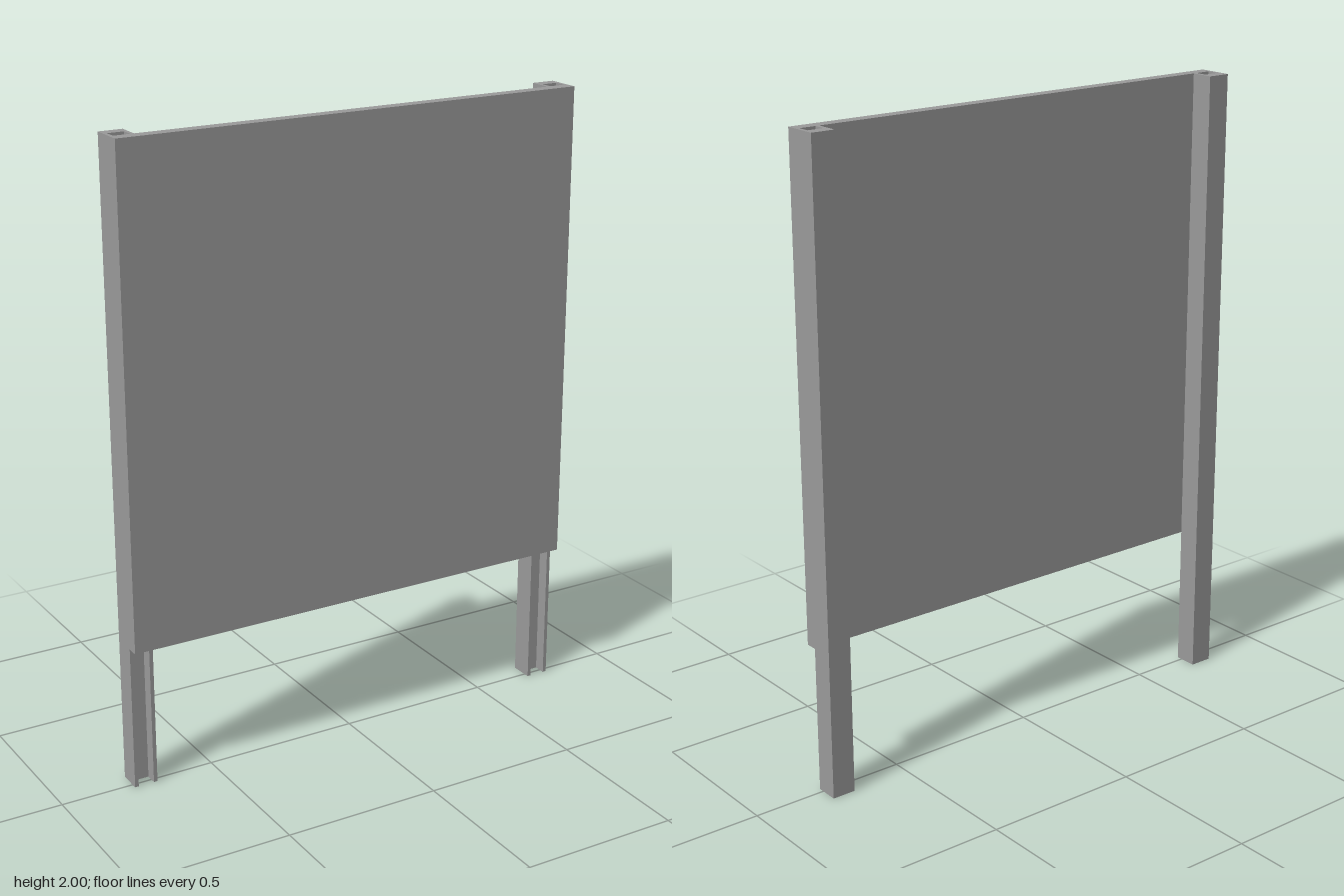
import * as THREE from 'three';

const HALF_WIDTH = 0.768, HEIGHT = 2, HALF_DEPTH = 0.056;
const PANEL_BOTTOM = 0.463, PANEL_BACK = 0.018;
const POST_WIDTH = 0.075, WALL = 0.012, WEB_FRONT = -0.021;

export function createModel() {
  const group = new THREE.Group();
  const material = new THREE.MeshStandardMaterial({ color: 0x9b9b9b });

  // Flat board across the front
  const thickness = HALF_DEPTH - PANEL_BACK;
  const panel = new THREE.Mesh(
    new THREE.BoxGeometry(2 * HALF_WIDTH, HEIGHT - PANEL_BOTTOM, thickness), material);
  panel.name = 'panel';
  panel.position.set(0, (HEIGHT + PANEL_BOTTOM) / 2, PANEL_BACK + thickness / 2);
  group.add(panel);

  // U-channel section, open towards the front (shape y becomes -z once upright)
  const w = POST_WIDTH / 2, inner = w - WALL;
  const section = new THREE.Shape([
    [-w, HALF_DEPTH], [-w, -PANEL_BACK], [-inner, -PANEL_BACK], [-inner, -WEB_FRONT],
    [inner, -WEB_FRONT], [inner, -PANEL_BACK], [w, -PANEL_BACK], [w, HALF_DEPTH],
  ].map(([x, y]) => new THREE.Vector2(x, y)));
  const channel = new THREE.ExtrudeGeometry(section, { depth: HEIGHT, bevelEnabled: false });
  channel.rotateX(-Math.PI / 2);

  // Posts behind both side edges, running down to form the legs
  for (const [side, name] of [[1, 'leftPost'], [-1, 'rightPost']]) {
    const post = new THREE.Mesh(channel, material);
    post.name = name;
    post.position.x = side * (HALF_WIDTH - w);
    group.add(post);
  }
  return group;
}
